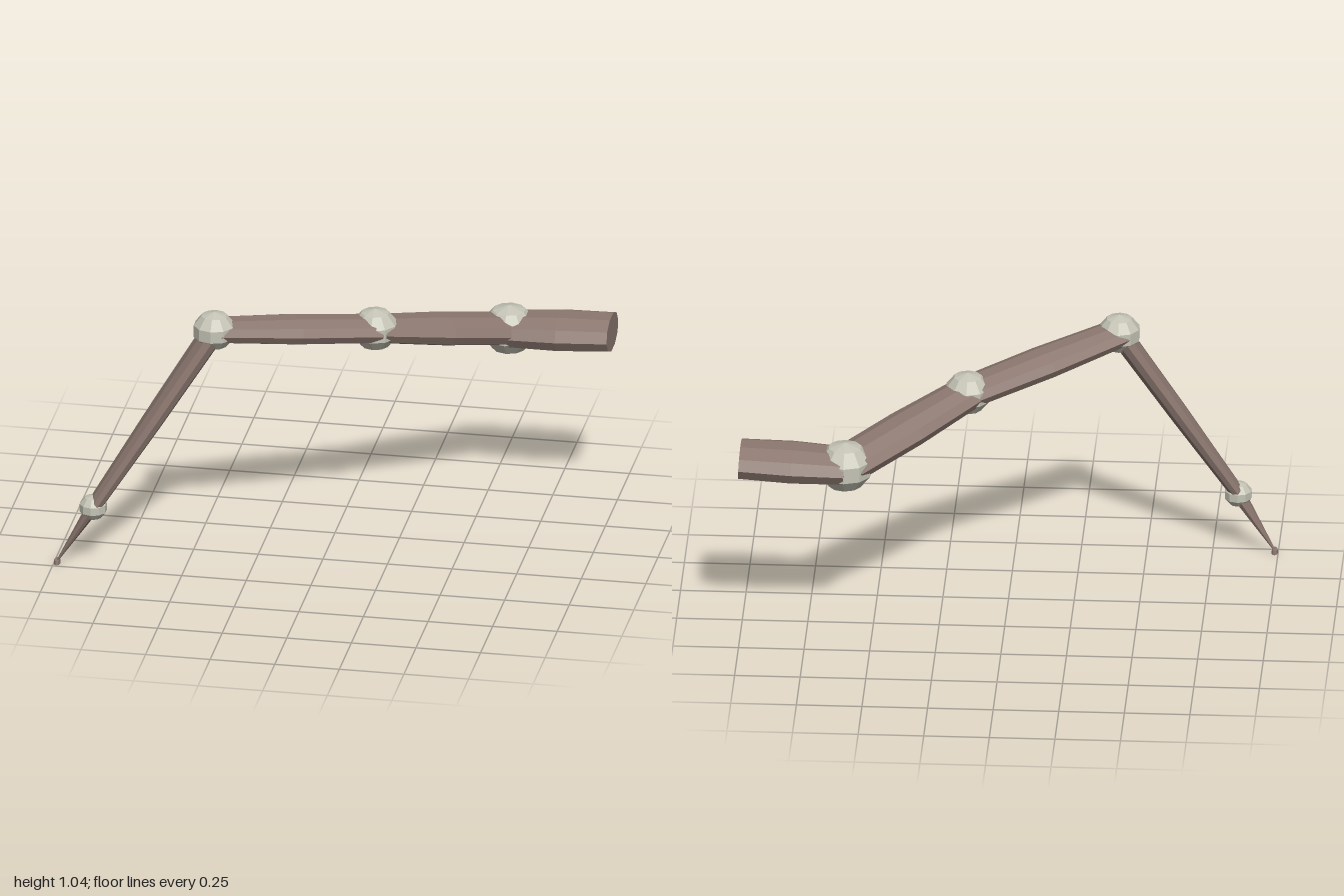
import * as THREE from 'three';

export function createModel() {
  const group = new THREE.Group();
  group.name = 'jointedLeg';
  const shell = new THREE.MeshStandardMaterial({ color: 0x8c7870, flatShading: true });
  shell.name = 'brownShell';
  const bone = new THREE.MeshStandardMaterial({ color: 0xc4c3b5, flatShading: true });
  bone.name = 'paleJoint';
  const SIDES = 10;
  const FLATNESS = 0.57; // thickness of a limb relative to its width

  const add = (name, geometry, material) => {
    const mesh = new THREE.Mesh(geometry, material);
    mesh.name = name;
    group.add(mesh);
    return mesh;
  };

  // Oval limb from a to b, with half-widths at start, middle and end
  const limb = (name, a, b, [r0, r1, r2]) => {
    const length = a.distanceTo(b);
    const profile = [[0, 0], [r0, 0], [r1, length / 2], [r2, length], [0, length]]
      .map(([r, y]) => new THREE.Vector2(r, y));
    const geometry = new THREE.LatheGeometry(profile, SIDES);
    geometry.scale(FLATNESS, 1, 1);
    const along = b.clone().sub(a).normalize();
    const across = new THREE.Vector3().crossVectors(along, new THREE.Vector3(0, 1, 0)).normalize();
    const thick = new THREE.Vector3().crossVectors(along, across);
    geometry.applyMatrix4(new THREE.Matrix4().makeBasis(thick, along, across).setPosition(a));
    add(name, geometry, shell);
  };

  // Faceted ball, slightly wider than tall, with an upright band round the middle
  const joint = (name, center, r) => {
    const profile = [];
    for (let i = 0; i <= 5; i++) {
      const t = (i / 5) * Math.PI;
      profile.push(new THREE.Vector2(i % 5 ? Math.sin(t) * r * 1.1 : 0, -Math.cos(t) * r));
    }
    add(name, new THREE.LatheGeometry(profile, SIDES), bone).position.copy(center);
  };

  const root = new THREE.Vector3(1, 0.745, -0.395);
  const hip = new THREE.Vector3(0.6, 0.727, -0.397);
  const thigh = new THREE.Vector3(0.155, 0.863, -0.003);
  const knee = new THREE.Vector3(-0.402, 0.965, 0.348);
  const ankle = new THREE.Vector3(-0.848, 0.245, 0.47);
  const tip = new THREE.Vector3(-0.987, 0.01, 0.47);

  // Limbs
  limb('baseSegment', hip, root, [0.113, 0.126, 0.119]);
  limb('upperSegment', hip, thigh, [0.103, 0.105, 0.09]);
  limb('middleSegment', thigh, knee, [0.09, 0.094, 0.08]);
  limb('shinSegment', knee, ankle, [0.075, 0.066, 0.048]);
  limb('clawSegment', ankle, tip, [0.046, 0.026, 0.006]);

  // Joints
  joint('hipJoint', hip, 0.098);
  joint('thighJoint', thigh, 0.083);
  joint('kneeJoint', knee, 0.076);
  joint('ankleJoint', ankle, 0.05);

  // Foot pad
  const foot = add('footPad', new THREE.CylinderGeometry(0.021, 0.024, 0.016, SIDES), shell);
  foot.scale.x = 0.53;
  foot.position.set(-0.987, 0.008, 0.47);

  return group;
}
